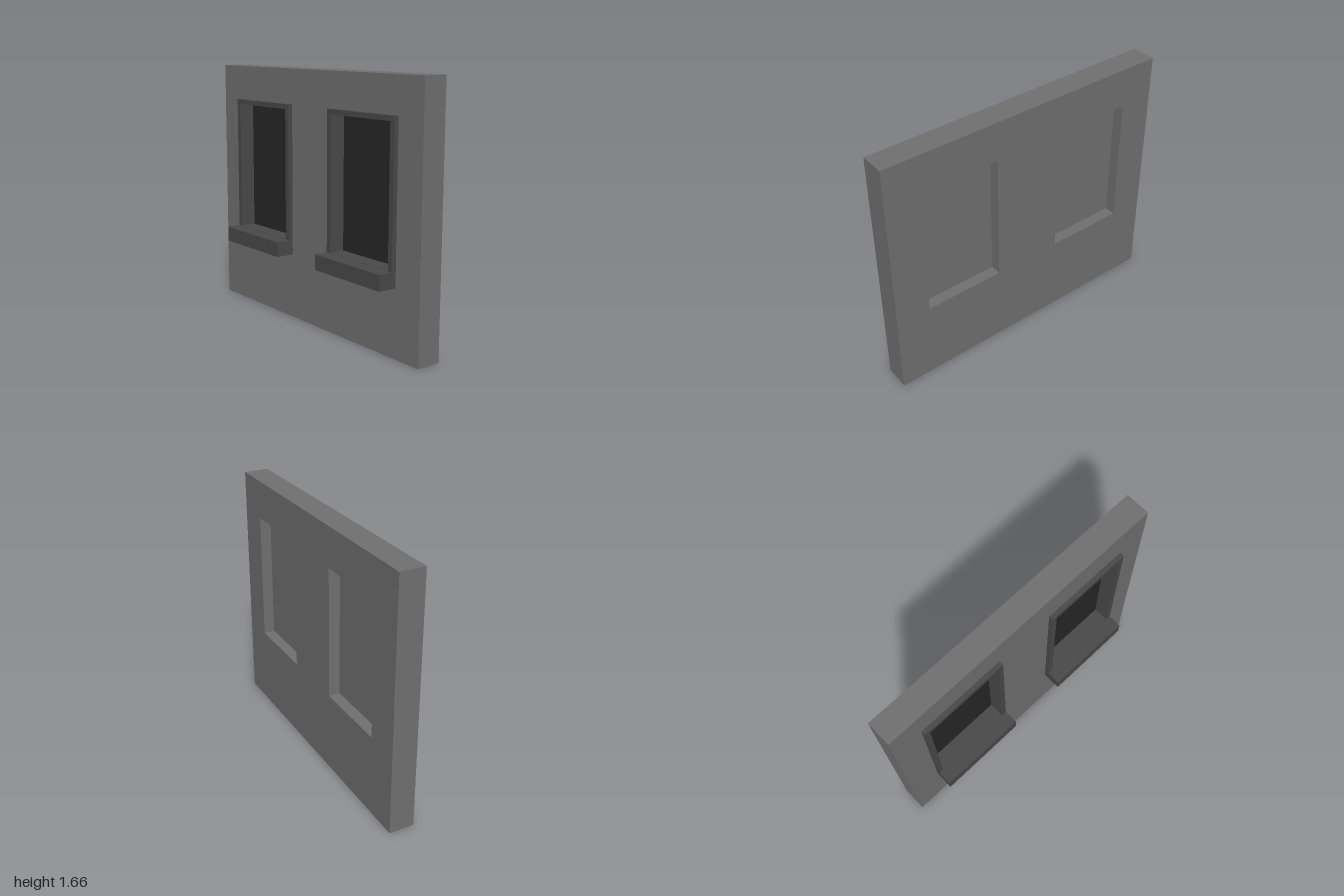
import * as THREE from 'three';

const material = (color) => new THREE.MeshStandardMaterial({ color, flatShading: true });

// Rectangular path in the wall plane, u across and v up.
function rect(target, u0, u1, v0, v1) {
  target.moveTo(u0, v0);
  target.lineTo(u1, v0);
  target.lineTo(u1, v1);
  target.lineTo(u0, v1);
  target.closePath();
  return target;
}

// Slab with rectangular holes, extruded along x from x0 to x1.
function slab(name, mat, x0, x1, outer, holes) {
  const shape = rect(new THREE.Shape(), ...outer);
  for (const hole of holes) shape.holes.push(rect(new THREE.Path(), ...hole));
  const geometry = new THREE.ExtrudeGeometry(shape, { depth: x1 - x0, bevelEnabled: false });
  geometry.rotateY(Math.PI / 2).translate(x0, 0, 0);
  const mesh = new THREE.Mesh(geometry, mat);
  mesh.name = name;
  return mesh;
}

export function createModel() {
  const wallMat = material(0x707070);
  const trimMat = material(0x494949);
  const glassMat = material(0x262626);
  const bottom = 0.535, top = 1.405, half = 0.267, lip = 0.002;
  const group = new THREE.Group();
  group.name = 'wallWithWindows';

  // Wall with two window openings
  const openings = [-0.5, 0.5].map((c) => [c - half, c + half, bottom, top]);
  group.add(slab('wall', wallMat, -0.02, 0.145, [-1, 1, 0, 1.665], openings));

  for (const side of [-1, 1]) {
    const win = new THREE.Group();
    win.name = side > 0 ? 'frontWindow' : 'backWindow';
    win.position.z = side * 0.5;

    // Surround that also lines the opening as far as the pane
    win.add(slab('windowFrame', trimMat, -0.05, 0.065,
      [-0.3, 0.3, bottom - 0.03, top + 0.03],
      [[-half + lip, half - lip, bottom + lip, top - lip]]));

    // Projecting sill
    win.add(slab('windowSill', trimMat, -0.145, -0.01, [-0.3, 0.3, 0.435, bottom], []));

    // Dark pane and the panel closing the recess on the other face
    win.add(slab('windowPane', glassMat, 0.055, 0.063, [-half, half, bottom, top], []));
    win.add(slab('recessPanel', wallMat, 0.063, 0.07, [-half, half, bottom, top], []));
    group.add(win);
  }
  return group;
}
